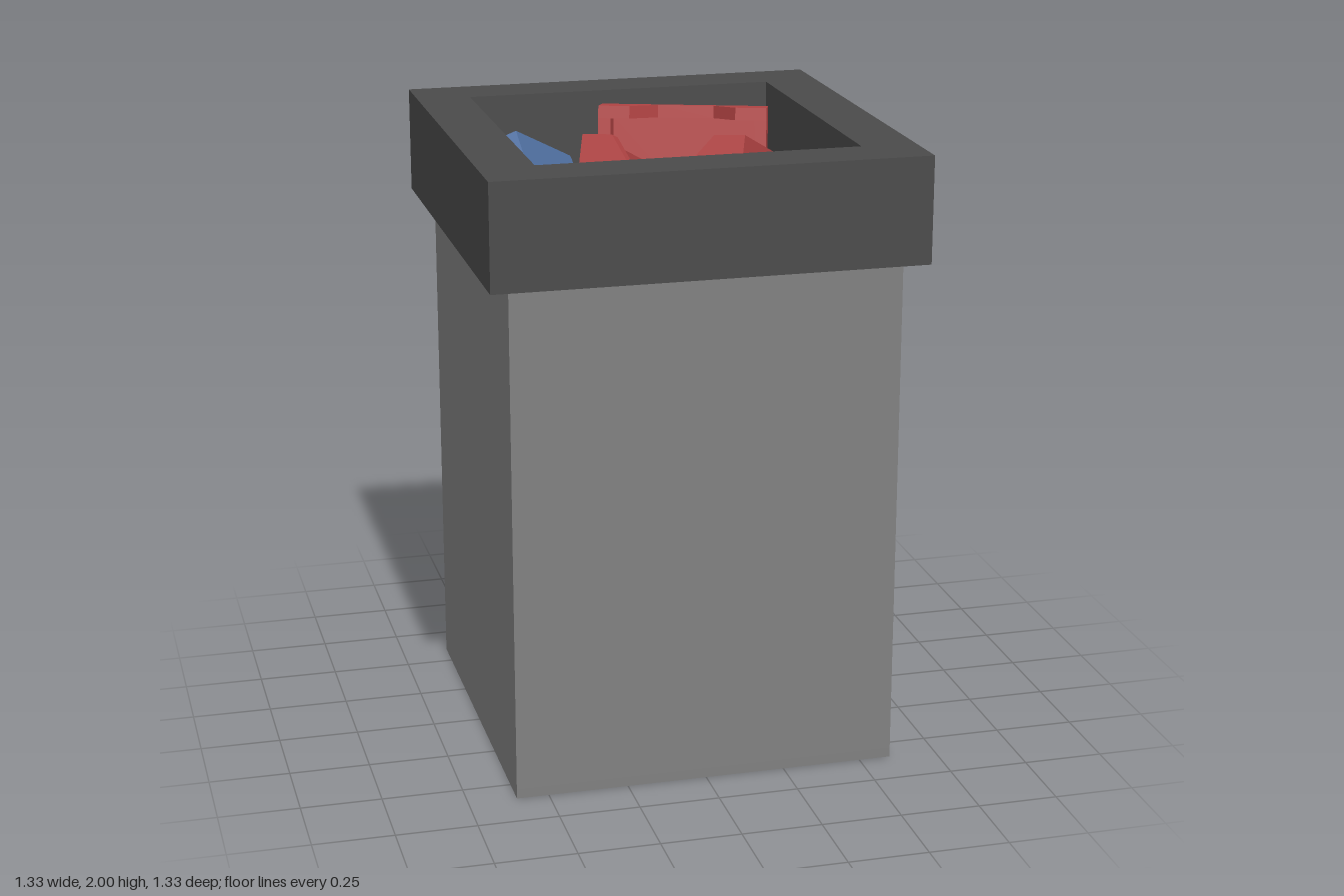
import * as THREE from 'three';

const material = (name, color) => {
  const m = new THREE.MeshStandardMaterial({ color });
  m.name = name;
  return m;
};

export function createModel() {
  const grey = material('grey', 0x808080);
  const charcoal = material('charcoal', 0x4a4a4a);
  const red = material('red', 0xb54545);
  const blue = material('blue', 0x5577ab);

  const bin = new THREE.Group();
  bin.name = 'rubbishBin';

  const add = (parent, name, geometry, mat) => {
    const mesh = new THREE.Mesh(geometry, mat);
    mesh.name = name;
    parent.add(mesh);
    return mesh;
  };

  // Square ring standing between two heights
  const ring = (outer, inner, y0, y1) => {
    const square = (P, r) => new P([[-r, -r], [r, -r], [r, r], [-r, r]].map(p => new THREE.Vector2(...p)));
    const shape = square(THREE.Shape, outer);
    shape.holes.push(square(THREE.Path, inner));
    return new THREE.ExtrudeGeometry(shape, { depth: y1 - y0, bevelEnabled: false })
      .rotateX(-Math.PI / 2).translate(0, y0, 0);
  };

  // Box given by its low and high corners
  const block = (x0, x1, y0, y1, z0, z1) => new THREE.BoxGeometry(x1 - x0, y1 - y0, z1 - z0)
    .translate((x0 + x1) / 2, (y0 + y1) / 2, (z0 + z1) / 2);

  // Place an object by one corner and the directions of its two long edges
  const place = (object, origin, uDir, vDir) => {
    const u = new THREE.Vector3(...uDir).normalize();
    const v = new THREE.Vector3(...vDir);
    v.addScaledVector(u, -v.dot(u)).normalize();
    const n = new THREE.Vector3().crossVectors(u, v);
    object.quaternion.setFromRotationMatrix(new THREE.Matrix4().makeBasis(u, v, n));
    object.position.set(...origin);
  };

  // Bin shell and collar
  add(bin, 'body', ring(0.6, 0.495, 0.03, 1.62), grey);
  add(bin, 'base', block(-0.6, 0.6, 0, 0.03, -0.6, 0.6), grey);
  add(bin, 'collar', ring(0.665, 0.495, 1.62, 1.95), charcoal);

  // Uneven heap of rubbish filling the bin
  const heap = new THREE.PlaneGeometry(0.99, 0.99, 14, 14).rotateX(-Math.PI / 2);
  const pos = heap.attributes.position;
  for (let i = 0; i < pos.count; i++) {
    const x = pos.getX(i), z = pos.getZ(i);
    pos.setY(i, 1.37 + 0.6 * x * x + 0.6 * z * z + 0.02 * Math.sin(9 * x + 1) * Math.cos(8 * z));
  }
  heap.computeVertexNormals();
  add(bin, 'rubbishHeap', heap, grey);

  // Discarded cartons
  const greyCarton = add(bin, 'greyCarton', block(0, 0.43, 0, 0.777, -0.18, 0), grey);
  place(greyCarton, [-0.455, 1.72, 0.125], [0.17, 0.16, 0.36], [0.715, -0.133, -0.275]);
  const blueCarton = add(bin, 'blueCarton', block(0, 0.777, 0, 0.455, -0.18, 0), blue);
  place(blueCarton, [-0.415, 1.907, -0.16], [0.075, -0.35, 0.23], [0.25, -0.17, -0.34]);

  // Open tray with one notched wall
  const tray = (name, origin, u, v) => {
    const L = 0.58, W = 0.54, D = 0.135, T = 0.04, F = 0.025;
    const group = new THREE.Group();
    group.name = name;
    add(group, 'trayFloor', block(T, L - T, T, W - T, -D, -D + F), red);
    add(group, 'trayEndWall', block(L - T, L, 0, W, -D, 0), red);
    for (const y of [0, W - T]) add(group, 'traySideWall', block(T, L - T, y, y + T, -D, 0), red);
    const profile = [[0, -D], [W, -D], [W, 0], [0.44, 0], [0.365, -0.1], [0.185, -0.1], [0.1, 0], [0, 0]];
    const notched = new THREE.ExtrudeGeometry(
      new THREE.Shape(profile.map(p => new THREE.Vector2(...p))), { depth: T, bevelEnabled: false });
    // Cycle the axes so the profile stands across the tray
    notched.applyMatrix4(new THREE.Matrix4().makeBasis(
      new THREE.Vector3(0, 1, 0), new THREE.Vector3(0, 0, 1), new THREE.Vector3(1, 0, 0)));
    add(group, 'trayNotchedWall', notched, red);
    place(group, origin, u, v);
    bin.add(group);
  };
  tray('tiltedTray', [0.14, 2.0, 0.48], [0.36, -0.243, -0.39], [-0.4, -0.05, -0.345]);
  tray('uprightTray', [-0.1, 1.925, -0.38], [-0.05, -0.986, 0.148], [0.525, 0, 0.18]);

  return bin;
}
